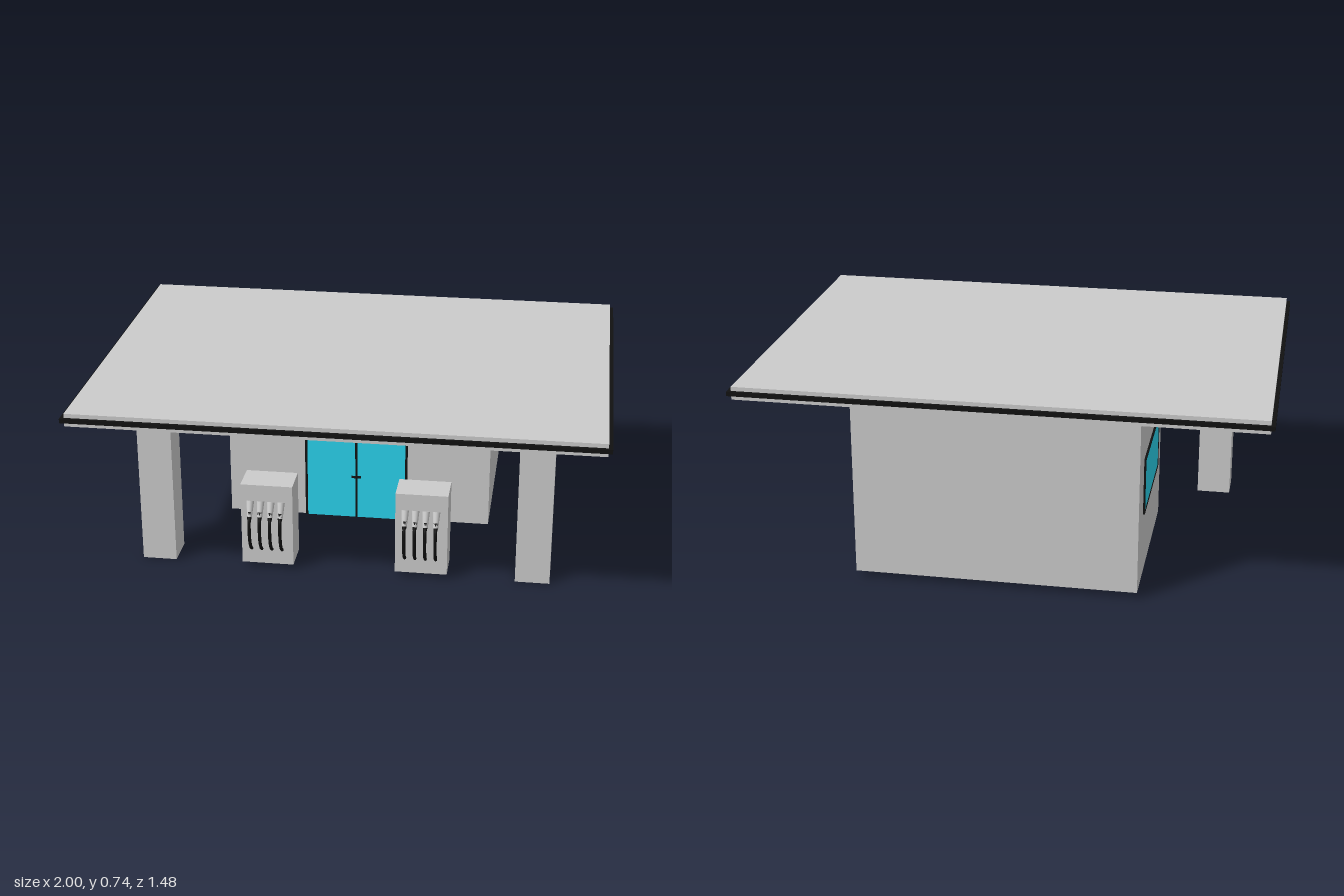
import * as THREE from 'three';

const grey = new THREE.MeshStandardMaterial({ color: 0xcccccc });
const black = new THREE.MeshStandardMaterial({ color: 0x111111 });
const signBlack = new THREE.MeshStandardMaterial({ color: 0x1c1c1c });
const glass = new THREE.MeshStandardMaterial({ color: 0x2ad4ee });

// Box given by its minimum and maximum on each axis
function box(name, x, y, z, material = grey) {
  const mesh = new THREE.Mesh(
    new THREE.BoxGeometry(x[1] - x[0], y[1] - y[0], z[1] - z[0]), material);
  mesh.position.set((x[0] + x[1]) / 2, (y[0] + y[1]) / 2, (z[0] + z[1]) / 2);
  mesh.name = name;
  return mesh;
}

// Slanted nozzle and its hanging hose, on the pump face at z = 0.45
function createHose(x) {
  const group = new THREE.Group();
  group.name = 'fuelHose';
  group.position.x = x;

  const top = new THREE.Vector3(0, 0.288, 0.452);
  const bottom = new THREE.Vector3(0, 0.232, 0.478);
  const axis = new THREE.Vector3().subVectors(top, bottom);
  const nozzle = new THREE.Mesh(
    new THREE.CylinderGeometry(0.015, 0.01, axis.length(), 12), grey);
  nozzle.position.addVectors(top, bottom).multiplyScalar(0.5);
  nozzle.quaternion.setFromUnitVectors(new THREE.Vector3(0, 1, 0), axis.normalize());
  nozzle.name = 'nozzle';

  const path = new THREE.CatmullRomCurve3([
    [0.247, 0.47], [0.215, 0.486], [0.17, 0.49], [0.125, 0.482], [0.095, 0.465], [0.08, 0.446],
  ].map(([y, z]) => new THREE.Vector3(0, y, z)));
  const hose = new THREE.Mesh(new THREE.TubeGeometry(path, 20, 0.0065, 8), black);
  hose.name = 'hose';

  // Thicker grip where the hose meets the nozzle
  const grip = new THREE.Mesh(new THREE.CylinderGeometry(0.011, 0.008, 0.03, 10), black);
  grip.position.set(0, 0.236, 0.477);
  grip.rotation.x = -0.43;
  grip.name = 'grip';

  group.add(nozzle, hose, grip);
  return group;
}

function createPump(name, x0, x1) {
  const pump = new THREE.Group();
  pump.name = name;
  pump.add(box('pumpBody', [x0, x1], [0.02, 0.355], [0.32, 0.45]));
  for (let i = 0; i < 4; i++) pump.add(createHose(x0 + 0.038 + i * 0.04));
  return pump;
}

// Canopy slab with a dark band around its edge
function createRoof() {
  const roof = new THREE.Group();
  roof.name = 'roof';
  roof.add(box('roofSlab', [-0.985, 0.985], [0.685, 0.735], [-0.73, 0.73]));
  for (const s of [-1, 1]) {
    const side = box('sideTrim', [0.982, 1], [0.702, 0.719], [-0.742, 0.742], black);
    side.position.x *= s;
    const end = box('endTrim', [-0.982, 0.982], [0.702, 0.719], [0.727, 0.742], black);
    end.position.z *= s;
    roof.add(side, end);
  }
  return roof;
}

// Double glass doors in a dark frame
function createDoors() {
  const doors = new THREE.Group();
  doors.name = 'doors';
  doors.add(
    box('glassDoors', [-0.21, 0.195], [0.025, 0.425], [0.005, 0.016], glass),
    box('frameTop', [-0.217, 0.202], [0.422, 0.432], [0.005, 0.02], black),
    box('frameRight', [-0.217, -0.208], [0.025, 0.422], [0.005, 0.02], black),
    box('frameLeft', [0.193, 0.202], [0.025, 0.422], [0.005, 0.02], black),
    box('frameMiddle', [-0.011, -0.003], [0.025, 0.422], [0.005, 0.02], black),
    box('doorHandle', [-0.027, 0.013], [0.203, 0.211], [0.012, 0.022], black));
  return doors;
}

// Framed window in the right wall
function createWindow() {
  const group = new THREE.Group();
  group.name = 'sideWindow';
  const x = [-0.537, -0.525];
  group.add(box('windowPane', [-0.535, -0.525], [0.285, 0.495], [-0.585, -0.125], glass));
  for (const y of [0.28, 0.492]) {
    group.add(box('windowRail', x, [y, y + 0.008], [-0.59, -0.12], black));
  }
  for (const z of [-0.59, -0.128]) {
    group.add(box('windowPost', x, [0.288, 0.492], [z, z + 0.008], black));
  }
  return group;
}

export function createModel() {
  const model = new THREE.Group();
  model.name = 'fuelStation';
  model.add(
    createRoof(),
    box('shopBuilding', [-0.53, 0.535], [0.025, 0.685], [-0.73, 0.01]),
    box('signPanel', [-0.385, 0.39], [0.455, 0.635], [0.005, 0.019], signBlack),
    createDoors(),
    createWindow(),
    box('rightColumn', [-0.8, -0.667], [0, 0.685], [0.3, 0.432]),
    box('leftColumn', [0.667, 0.8], [0, 0.685], [0.3, 0.432]),
    createPump('rightPump', -0.397, -0.195),
    createPump('leftPump', 0.203, 0.405));
  return model;
}
